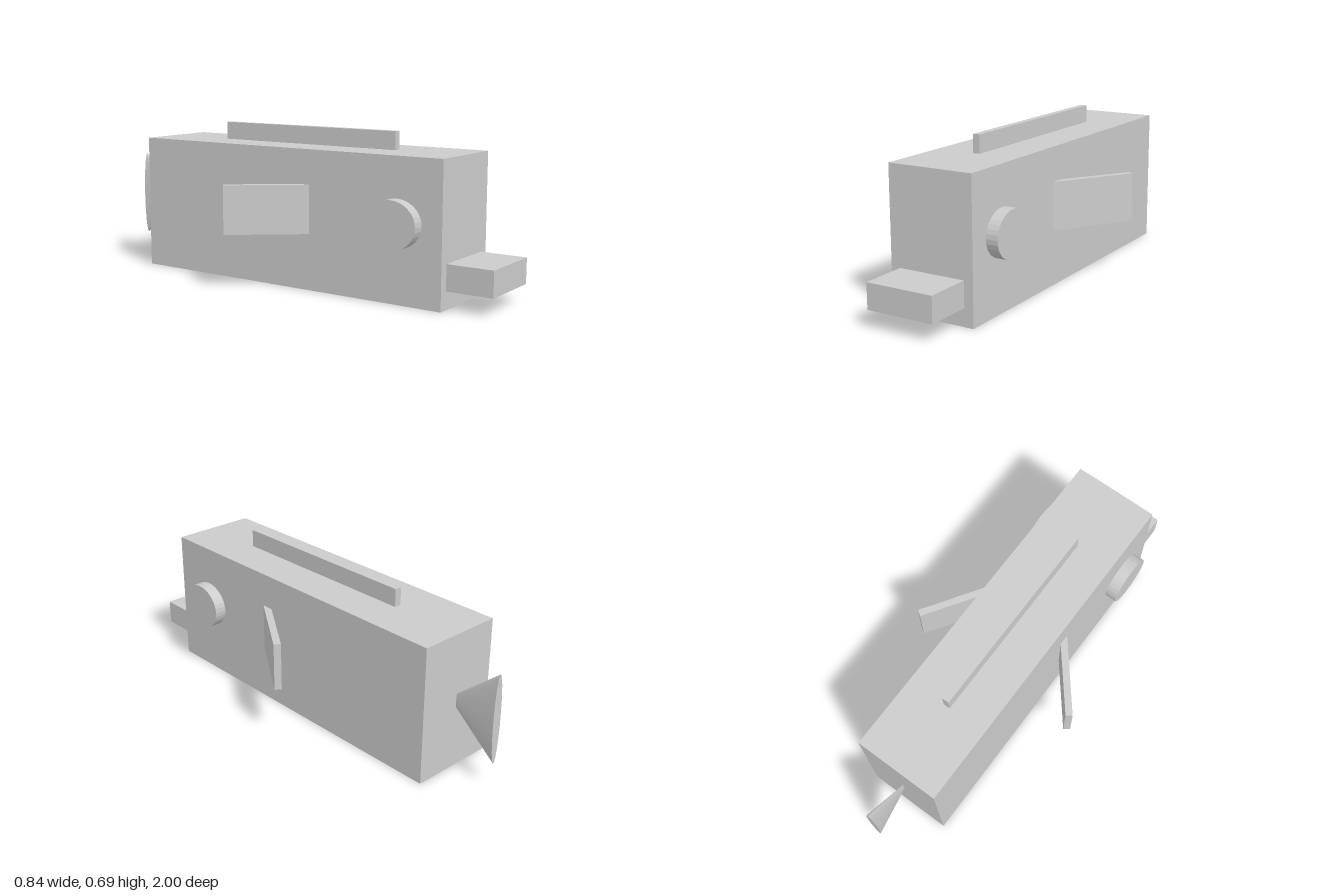
import * as THREE from 'three';

const material = new THREE.MeshStandardMaterial({ color: 0xcccccc, flatShading: true });

export function createModel() {
  const group = new THREE.Group();

  function add(name, geometry) {
    const mesh = new THREE.Mesh(geometry, material);
    mesh.name = name;
    group.add(mesh);
    return mesh;
  }

  // Box given by its lower and upper corners
  function block(name, [x0, y0, z0], [x1, y1, z1]) {
    const mesh = add(name, new THREE.BoxGeometry(x1 - x0, y1 - y0, z1 - z0));
    mesh.position.set((x0 + x1) / 2, (y0 + y1) / 2, (z0 + z1) / 2);
  }

  // Upright plate from a root inside the body to a swept-back tip, in x and z
  function sideFin(name, [rx, rz], [tx, tz]) {
    const length = Math.hypot(tx - rx, tz - rz);
    const mesh = add(name, new THREE.BoxGeometry(0.031, 0.215, length));
    mesh.position.set((rx + tx) / 2, 0.355, (rz + tz) / 2);
    mesh.rotation.y = Math.atan2(tx - rx, tz - rz);
  }

  block('body', [-0.192, 0, -0.795], [0.2, 0.615, 0.793]);
  block('mouth', [-0.15, 0.078, 0.7], [0.158, 0.19, 1]);
  block('dorsalFin', [-0.012, 0.6, -0.456], [0.02, 0.695, 0.468]);

  sideFin('leftFin', [0.12, 0.273], [0.403, -0.156]);
  sideFin('rightFin', [-0.11, 0.224], [-0.411, -0.147]);

  // Eyes: one slightly oval cylinder running through the head
  const eyes = add('eyes', new THREE.CylinderGeometry(1, 1, 0.5, 32).rotateZ(Math.PI / 2));
  eyes.scale.set(1, 0.103, 0.117);
  eyes.position.set(0.004, 0.338, 0.584);

  // Tail: a cone squeezed thin, its tip sunk into the body
  const tail = add('tail', new THREE.ConeGeometry(1, 0.245, 32).rotateX(Math.PI / 2));
  tail.scale.set(0.022, 0.202, 1);
  tail.position.set(0.002, 0.311, -0.8775);
  tail.material = material.clone();
  tail.material.flatShading = false;

  return group;
}
